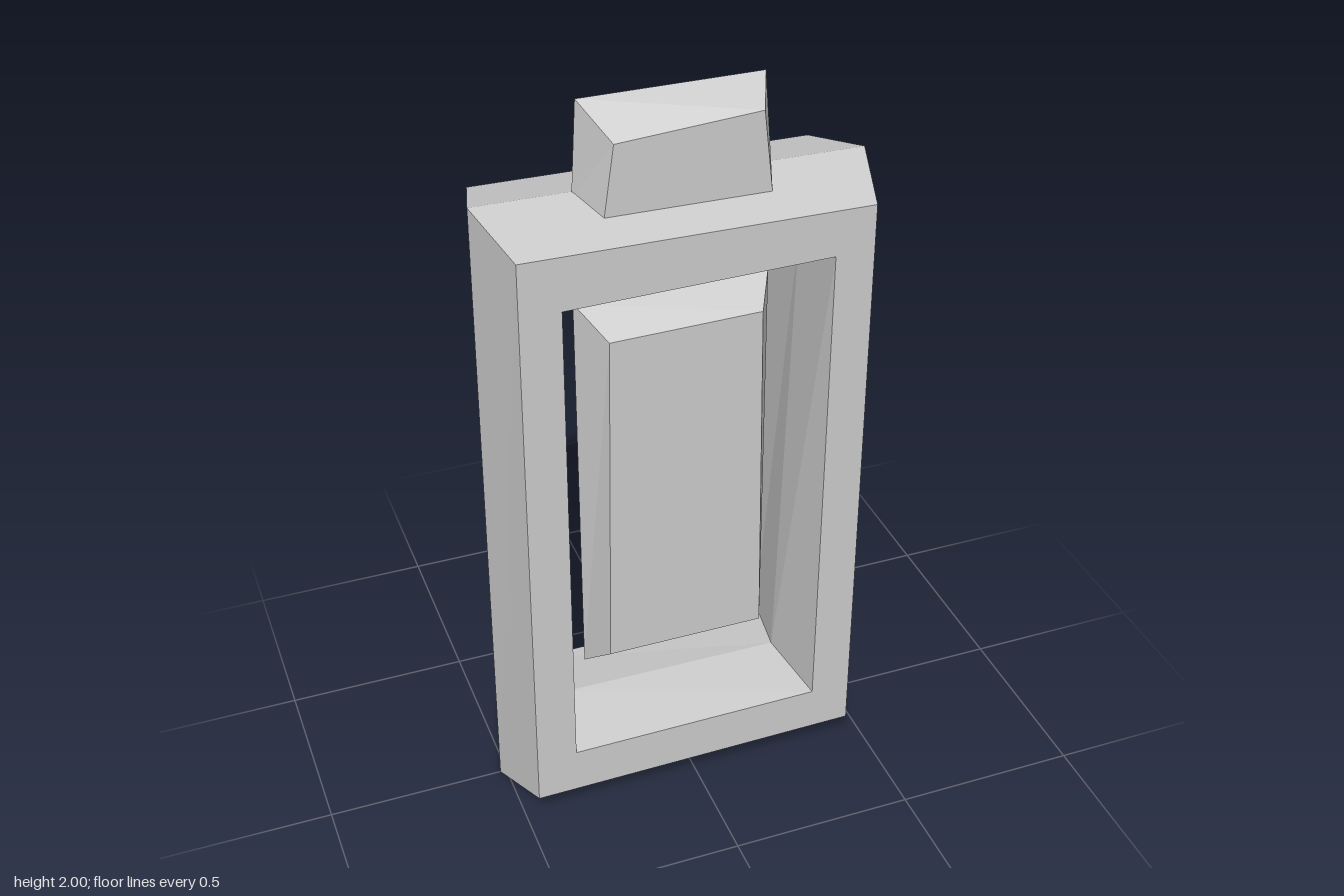
import * as THREE from 'three';

const material = new THREE.MeshStandardMaterial({ color: 0xcccccc, flatShading: true });

// A section is four corners at one depth: bottom left, bottom right, top right, top left
const section = (corners, z) => corners.map(([x, y]) => new THREE.Vector3(x, y, z));

// Joins successive sections with flat quads; either loops back to the start or caps both ends
function loft(name, sections, loop) {
  const positions = [];
  const quad = (a, b, c, d) => {
    for (const p of [a, b, c, a, c, d]) positions.push(p.x, p.y, p.z);
  };
  const last = sections.length - 1;
  for (let s = 0; s < (loop ? last + 1 : last); s++) {
    const from = sections[s];
    const to = sections[(s + 1) % sections.length];
    for (let i = 0; i < 4; i++) {
      const j = (i + 1) % 4;
      quad(from[i], to[i], to[j], from[j]);
    }
  }
  if (!loop) {
    quad(...sections[0]);
    quad(...[...sections[last]].reverse());
  }
  const geometry = new THREE.BufferGeometry();
  geometry.setAttribute('position', new THREE.Float32BufferAttribute(positions, 3));
  geometry.computeVertexNormals();
  const mesh = new THREE.Mesh(geometry, material);
  mesh.name = name;
  return mesh;
}

// Solid block, widest at mid depth, with bevelled front and back
const bevelledBlock = (name, face, middle, depth) =>
  loft(name, [section(face, depth), section(middle, 0), section(face, -depth)], false);

export function createModel() {
  const model = new THREE.Group();
  model.name = 'framedPendant';

  // Hollow frame: slightly crooked, ridged on the outside and inside at mid depth
  const depth = 0.207;
  const outerFace = [[-0.465, 0.067], [0.45, 0.077], [0.445, 1.707], [-0.455, 1.717]];
  const outerRidge = [[-0.518, 0], [0.515, 0.015], [0.505, 1.758], [-0.508, 1.77]];
  const innerFace = [[-0.355, 0.2], [0.34, 0.203], [0.342, 1.585], [-0.35, 1.573]];
  const innerRidge = [[-0.322, 0.237], [0.302, 0.23], [0.338, 1.56], [-0.335, 1.55]];
  model.add(loft('frame', [
    section(innerFace, depth),
    section(outerFace, depth),
    section(outerRidge, 0),
    section(outerFace, -depth),
    section(innerFace, -depth),
    section(innerRidge, 0),
  ], true));

  // Panel floating in the opening
  model.add(bevelledBlock('innerPanel',
    [[-0.218, 0.425], [0.215, 0.425], [0.2, 1.407], [-0.203, 1.4]],
    [[-0.26, 0.335], [0.256, 0.335], [0.256, 1.465], [-0.26, 1.465]], 0.105));

  // Tab standing on top of the frame
  model.add(bevelledBlock('topTab',
    [[-0.21, 1.735], [0.215, 1.735], [0.19, 1.948], [-0.183, 1.923]],
    [[-0.255, 1.75], [0.25, 1.745], [0.235, 2], [-0.24, 2]], 0.105));

  return model;
}
